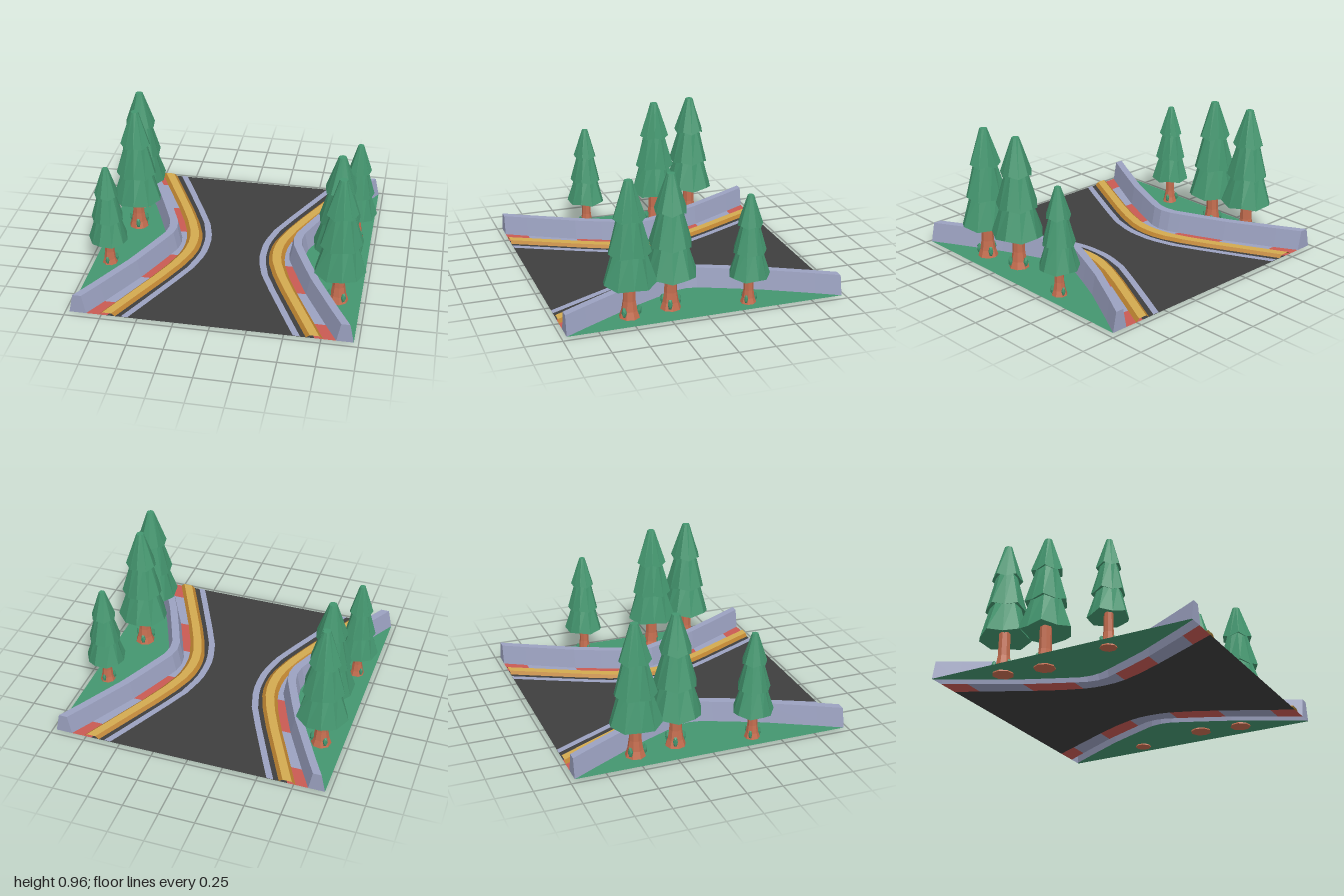
import * as THREE from 'three';

const mat = (name, color) => {
  const m = new THREE.MeshStandardMaterial({ color, flatShading: true, side: THREE.DoubleSide });
  m.name = name;
  return m;
};

// Half-track layout: [z, white line centre, curb centre, wall centre]
const HALF = [
  [0, 0.215, 0.315, 0.46], [0.08, 0.217, 0.32, 0.472], [0.16, 0.23, 0.336, 0.505],
  [0.3, 0.268, 0.385, 0.565], [0.48, 0.35, 0.466, 0.645], [0.81, 0.51, 0.63, 0.822], [0.967, 0.588, 0.708, 0.91],
];
const ROWS = [...HALF.slice(1).reverse().map(([z, ...r]) => [-z, ...r]), ...HALF];
const FLOOR = 0.01;

// Sweeps a profile (row -> [[x, y], ...], inner to outer) along z; side mirrors it in x
function sweep(rows, side, profile, capped = false) {
  const pos = [];
  const rings = rows.map((r) => profile(r).map(([x, y]) => [side * x, y, r[0]]));
  const quad = (a, b, c, d) => {
    const tris = side > 0 ? [a, d, c, a, c, b] : [a, c, d, a, b, c];
    tris.forEach((p) => pos.push(...p));
  };
  for (let i = 0; i < rings.length - 1; i++) {
    const p = rings[i], q = rings[i + 1];
    for (let j = 0; j < p.length - 1; j++) quad(p[j], p[j + 1], q[j + 1], q[j]);
  }
  if (capped) {
    const p = rings[0], q = rings[rings.length - 1];
    quad(p[0], p[3], p[2], p[1]);
    quad(q[0], q[1], q[2], q[3]);
  }
  const g = new THREE.BufferGeometry();
  g.setAttribute('position', new THREE.Float32BufferAttribute(pos, 3));
  g.computeVertexNormals();
  return g;
}

export function createModel() {
  const model = new THREE.Group();
  model.name = 'forestTrackNarrowing';
  const asphalt = mat('asphalt', 0x3e3e3e);
  const concrete = mat('concrete', 0x9ba1c0);
  const red = mat('red', 0xc95a53);
  const yellow = mat('yellow', 0xd2aa50);
  const ochre = mat('ochre', 0xb8802f);
  const green = mat('green', 0x44966f);
  const bark = mat('bark', 0xc46d4f);

  const add = (parent, name, geometry, material) => {
    const m = new THREE.Mesh(geometry, material);
    m.name = name;
    parent.add(m);
    return m;
  };

  for (const s of [1, -1]) {
    const half = new THREE.Group();
    half.name = s > 0 ? 'leftSide' : 'rightSide';
    model.add(half);

    // Flat surfaces: road, painted line, grass
    add(half, 'road', sweep(ROWS, s, ([, , c]) => [[0, FLOOR], [c, FLOOR]]), asphalt);
    add(half, 'whiteLine', sweep(ROWS, s, ([, l]) => [[l - 0.024, FLOOR + 0.003], [l + 0.024, FLOOR + 0.003]]), concrete);
    add(half, 'grass', sweep(ROWS, s, ([, , , w]) => [[w + 0.045, FLOOR], [0.968, FLOOR]]), green);

    // Verge in alternating red and pale blocks
    for (let i = 0; i < ROWS.length - 1; i++) {
      const mid = Math.abs(ROWS[i][0] + ROWS[i + 1][0]) / 2;
      const isRed = mid > 0.81 || (mid > 0.16 && mid < 0.48);
      add(half, isRed ? 'redVerge' : 'paleVerge',
        sweep(ROWS.slice(i, i + 2), s, ([, , c, w]) => [[c, FLOOR], [w - 0.045, FLOOR]]), isRed ? red : concrete);
    }

    // Low yellow curb with ochre bevels
    const curb = ([, , c]) => [[c - 0.058, FLOOR], [c - 0.032, 0.03], [c + 0.032, 0.03], [c + 0.058, FLOOR]];
    add(half, 'curbInnerBevel', sweep(ROWS, s, (r) => curb(r).slice(0, 2)), ochre);
    add(half, 'curbTop', sweep(ROWS, s, (r) => curb(r).slice(1, 3)), yellow);
    add(half, 'curbOuterBevel', sweep(ROWS, s, (r) => curb(r).slice(2, 4)), ochre);

    // Barrier wall, tapering upwards
    add(half, 'barrierWall', sweep(ROWS, s, ([, , , w]) =>
      [[w - 0.058, FLOOR], [w - 0.03, 0.148], [w + 0.03, 0.148], [w + 0.058, FLOOR]], true), concrete);
  }

  // One foliage tier: a cone with a scalloped hem and a hollowed underside
  const tier = (rTop, rBottom, yTop, yBottom) => {
    const g = new THREE.CylinderGeometry(rTop, rBottom, yTop - yBottom, 10, 1);
    g.translate(0, (yTop + yBottom) / 2, 0);
    const p = g.attributes.position;
    for (let i = 0; i < p.count; i++) {
      if (p.getY(i) > (yTop + yBottom) / 2) continue;
      const x = p.getX(i), z = p.getZ(i);
      if (Math.hypot(x, z) < 0.001) { p.setY(i, yBottom + 0.05); continue; }
      const k = Math.round(Math.atan2(x, z) / (Math.PI / 5));
      const odd = Math.abs(k) % 2;
      p.setXYZ(i, x * (odd ? 0.92 : 1), yBottom + (odd ? -0.012 : 0.012), z * (odd ? 0.92 : 1));
    }
    g.computeVertexNormals();
    return g;
  };

  const makeTree = (x, z, turn, wide, tall) => {
    const tree = new THREE.Group();
    tree.name = 'pineTree';
    // Flared trunk
    const profile = [[0, 0], [0.075, 0], [0.055, 0.06], [0.044, 0.13], [0.04, 0.32]]
      .map(([r, y]) => new THREE.Vector2(r, y));
    add(tree, 'trunk', new THREE.LatheGeometry(profile, 8), bark);
    add(tree, 'lowerFoliage', tier(0.1, 0.186, 0.52, 0.26), green);
    add(tree, 'middleFoliage', tier(0.07, 0.15, 0.75, 0.47), green);
    add(tree, 'upperFoliage', tier(0.027, 0.113, 0.963, 0.705), green);
    // Leaf tufts at the foot
    for (let i = 0; i < 3; i++) {
      const a = (i * Math.PI * 2) / 3 + 0.5;
      const tuft = add(tree, 'leafTuft', new THREE.IcosahedronGeometry(0.024, 0), green);
      tuft.scale.set(0.75, 1.7, 0.75);
      tuft.position.set(Math.sin(a) * 0.063, 0.06, Math.cos(a) * 0.063);
      tuft.rotation.y = a;
    }
    tree.position.set(x, 0, z);
    tree.rotation.y = turn;
    tree.scale.set(wide, tall, wide);
    model.add(tree);
  };

  // Trees repeat under a half turn
  for (const s of [1, -1]) {
    const turn = s > 0 ? 0 : Math.PI;
    makeTree(s * 0.812, s * 0.5, turn + 0.2, 1, 1);
    makeTree(s * 0.772, s * 0.2, turn + 0.7, 1, 1);
    makeTree(s * 0.855, s * -0.325, turn + 0.4, 0.77, 0.81);
  }
  return model;
}
